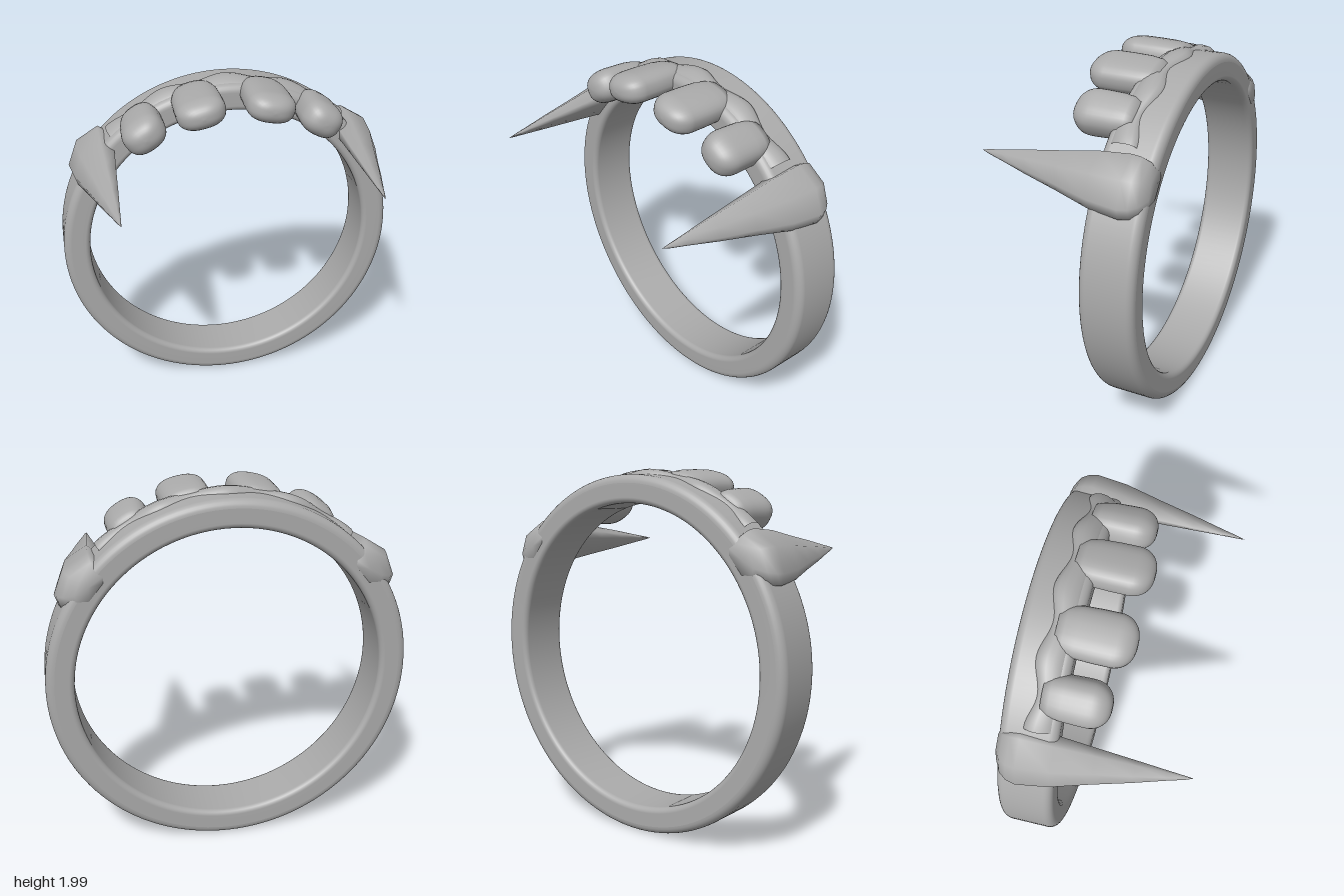
import * as THREE from 'three';

const CENTER_Y = 0.99;

// Lofts closed outlines along z; each row is [z, list of [x, y] counter-clockwise]. Ends are closed.
function loft(rows) {
  const n = rows[0][1].length;
  const pos = [], idx = [];
  for (const [z, pts] of rows) for (const [x, y] of pts) pos.push(x, y, z);
  for (let r = 0; r < rows.length - 1; r++) {
    for (let i = 0; i < n; i++) {
      const j = (i + 1) % n;
      const a = r * n + i, b = r * n + j, c = a + n, d = b + n;
      idx.push(a, b, d, a, d, c);
    }
  }
  for (const r of [0, rows.length - 1]) {
    const [z, pts] = rows[r];
    const k = pos.length / 3;
    pos.push(pts.reduce((s, p) => s + p[0], 0) / n, pts.reduce((s, p) => s + p[1], 0) / n, z);
    for (let i = 0; i < n; i++) {
      const a = r * n + i, b = r * n + (i + 1) % n;
      if (r === 0) idx.push(k, b, a); else idx.push(k, a, b);
    }
  }
  const g = new THREE.BufferGeometry();
  g.setAttribute('position', new THREE.Float32BufferAttribute(pos, 3));
  g.setIndex(idx);
  g.computeVertexNormals();
  return g;
}

// Finger band: rounded rectangle turned about the z axis
function bandGeometry() {
  const corners = [ // r, z, corner radius, start angle
    [0.98, -0.488, 0.045, -Math.PI / 2], [0.98, -0.19, 0.045, 0],
    [0.83, -0.19, 0.03, Math.PI / 2], [0.83, -0.488, 0.03, Math.PI],
  ];
  const pts = [];
  for (const [r, z, c, start] of corners) {
    const cx = r + (r > 0.9 ? -c : c), cz = z + (z < -0.3 ? c : -c);
    for (let i = 0; i <= 6; i++) {
      const a = start + i / 6 * Math.PI / 2;
      pts.push(new THREE.Vector2(cx + c * Math.cos(a), cz + c * Math.sin(a)));
    }
  }
  pts.push(pts[0].clone());
  return new THREE.LatheGeometry(pts, 128).rotateX(Math.PI / 2);
}

// Scalloped gum ridge along the top of the band
function gumGeometry() {
  const N = 90, M = 16, end = 0.74, pos = [], idx = [];
  for (let i = 0; i <= N; i++) {
    const a = -end + 2 * end * i / N;
    const wave = Math.cos(a * 2 * Math.PI / 0.37); // +1 between the teeth
    const zc = -0.275 - 0.012 * wave, rc = 0.945;
    for (let j = 0; j < M; j++) {
      const t = j / M * Math.PI * 2;
      const r = rc + (0.056 + 0.007 * wave) * Math.sin(t);
      const z = zc + (0.075 + 0.008 * wave) * Math.cos(t) - 0.02 * Math.sin(t);
      pos.push(r * Math.sin(a), CENTER_Y + r * Math.cos(a), z);
    }
  }
  for (let i = 0; i < N; i++) {
    for (let j = 0; j < M; j++) {
      const k = (j + 1) % M;
      const p = i * M + j, q = i * M + k;
      idx.push(p, p + M, q + M, p, q + M, q);
    }
  }
  const g = new THREE.BufferGeometry();
  g.setAttribute('position', new THREE.Float32BufferAttribute(pos, 3));
  g.setIndex(idx);
  g.computeVertexNormals();
  return g;
}

// Blunt tooth: squarish oval section with a domed end
function toothGeometry(w, h, zEnd) {
  const dome = 0.11, rows = [];
  const outline = (s) => {
    const pts = [];
    for (let i = 0; i < 32; i++) {
      const a = i / 32 * Math.PI * 2, c = Math.cos(a), d = Math.sin(a);
      pts.push([w / 2 * s * Math.sign(c) * Math.abs(c) ** 0.8, h / 2 * s * Math.sign(d) * Math.abs(d) ** 0.8]);
    }
    return pts;
  };
  rows.push([-0.3, outline(0.75)], [-0.26, outline(0.88)], [-0.2, outline(0.97)], [-0.1, outline(1)]);
  for (let i = 0; i <= 10; i++) {
    const a = i / 10 * Math.PI / 2;
    rows.push([zEnd - dome + dome * Math.sin(a), outline(Math.max(Math.cos(a) ** 0.8, 0.02))]);
  }
  return loft(rows);
}

// Fang: angular section shrinking towards its tip
function fangGeometry(side) {
  const tip = [0.68, 1.56];
  let base = [[0.9, 1.5], [0.85, 1.63], [0.72, 1.71], [0.64, 1.66], [0.64, 1.6], [0.77, 1.44], [0.88, 1.44]];
  base = base.map(([x, y]) => [x * side, y]);
  if (side < 0) base.reverse();
  const steps = [[-0.49, 0.55], [-0.46, 0.82], [-0.42, 0.95], [-0.37, 1], [-0.2, 0.89], [0, 0.63],
    [0.2, 0.39], [0.36, 0.18], [0.45, 0.07], [0.49, 0.005]];
  return loft(steps.map(([z, s]) => [z, base.map(([x, y]) => [
    side * tip[0] + (x - side * tip[0]) * s, tip[1] + (y - tip[1]) * s])]));
}

export function createModel() {
  const model = new THREE.Group();
  model.name = 'fangRing';
  const metal = new THREE.MeshStandardMaterial({ color: 0xaaaaaa });
  metal.name = 'greyMetal';

  const add = (name, geometry) => {
    const mesh = new THREE.Mesh(geometry, metal);
    mesh.name = name;
    model.add(mesh);
    return mesh;
  };

  add('band', bandGeometry()).position.y = CENTER_Y;
  add('gum', gumGeometry());

  // Two pairs of blunt teeth and one pair of fangs, mirrored
  for (const side of [1, -1]) {
    const label = side > 0 ? 'left' : 'right';
    const teeth = [['FrontTooth', 0.204, 0.937, 0.27, 0.165, 0.095], ['SideTooth', 0.55, 0.937, 0.24, 0.19, 0.04]];
    for (const [name, angle, radius, w, h, zEnd] of teeth) {
      const tooth = add(label + name, toothGeometry(w, h, zEnd));
      tooth.position.set(side * radius * Math.sin(angle), CENTER_Y + radius * Math.cos(angle), 0);
      tooth.rotation.z = -side * angle;
    }
    add(label + 'Fang', fangGeometry(side));
  }
  return model;
}
